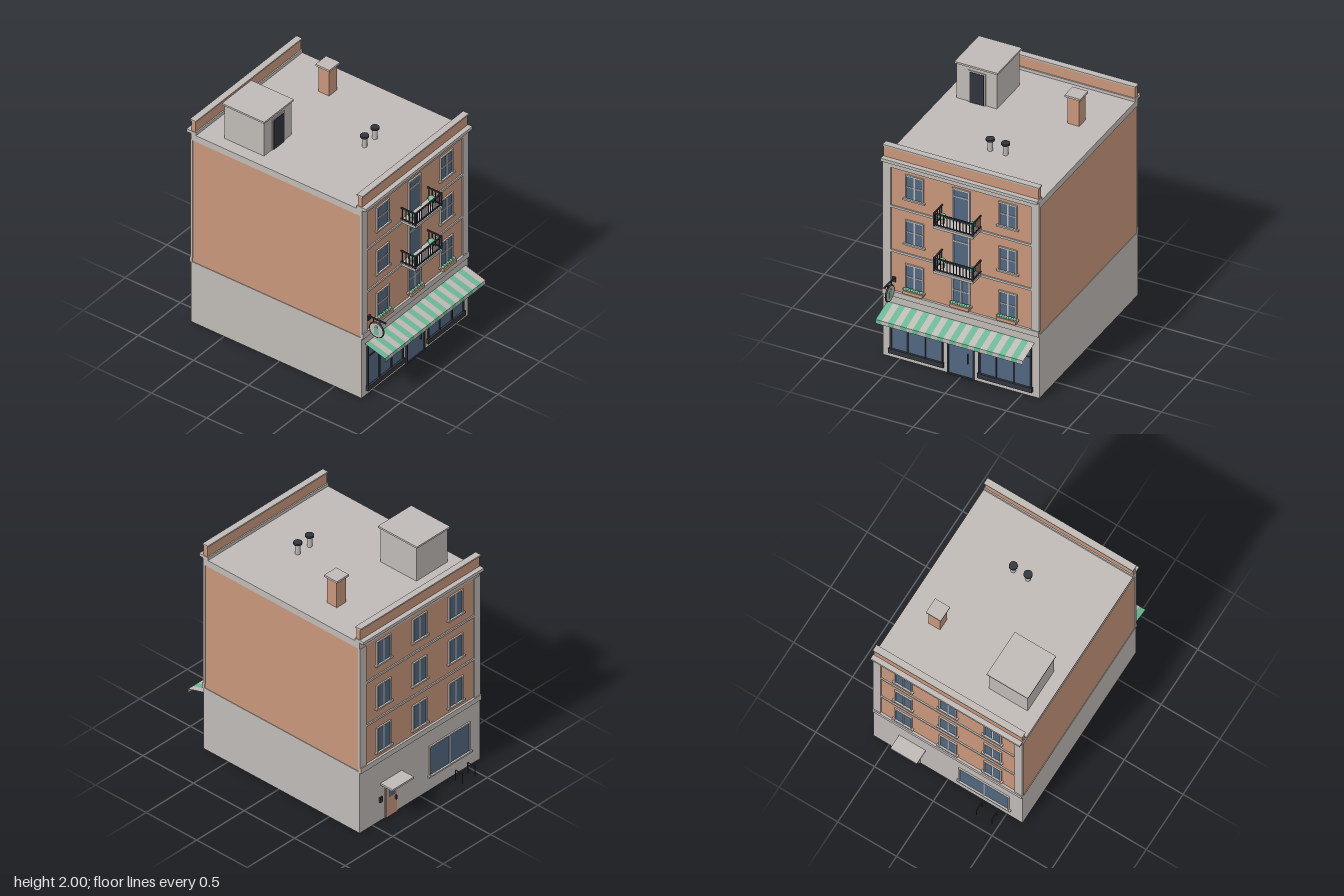
import * as THREE from 'three';

const mat = (name, color, side = THREE.FrontSide) => {
  const m = new THREE.MeshStandardMaterial({ color, side });
  m.name = name;
  return m;
};

export function createModel() {
  const brick = mat('terracotta', 0xc8967a);
  const stone = mat('stone', 0xbfbab6);
  const glass = mat('glass', 0x50677f);
  const dark = mat('dark metal', 0x32343c);
  const green = mat('green', 0x6cb896);
  const greenCloth = mat('green cloth', 0x6cb896, THREE.DoubleSide);
  const paleCloth = mat('pale cloth', 0xbfbab6, THREE.DoubleSide);

  const root = new THREE.Group();
  root.name = 'townhouse';
  const group = (name, parent = root) => {
    const g = new THREE.Group();
    g.name = name;
    parent.add(g);
    return g;
  };
  const add = (parent, name, geo, m, x = 0, y = 0, z = 0) => {
    const mesh = new THREE.Mesh(geo, m);
    mesh.name = name;
    mesh.position.set(x, y, z);
    parent.add(mesh);
    return mesh;
  };
  // box given by its extents
  const box = (p, name, m, x0, x1, y0, y1, z0, z1) =>
    add(p, name, new THREE.BoxGeometry(x1 - x0, y1 - y0, z1 - z0), m,
      (x0 + x1) / 2, (y0 + y1) / 2, (z0 + z1) / 2);

  // main body: hollow ground floor, open underneath
  const body = group('body');
  box(body, 'upperFloors', brick, -0.63, 0.63, 0.54, 1.63, -0.795, 0.74);
  box(body, 'groundFrontWall', stone, -0.635, 0.635, 0, 0.54, 0.725, 0.745);
  box(body, 'groundBackWall', stone, -0.635, 0.635, 0, 0.54, -0.8, -0.78);
  for (const s of [-1, 1]) {
    const w = box(body, 'groundSideWall', stone, -0.01, 0.01, 0, 0.54, -0.78, 0.725);
    w.position.x = s * 0.625;
  }
  box(body, 'roofSlab', stone, -0.635, 0.635, 1.63, 1.685, -0.8, 0.75);

  // framed window with sill, local wall plane at z = 0
  const windowUnit = (p, x, y0, y1, w = 0.15, cross = true) => {
    const g = group('window', p);
    const f = 0.011, h = w / 2;
    box(g, 'pane', glass, x - h + f, x + h - f, y0, y1 - f, 0, 0.005);
    for (const s of [-1, 1])
      box(g, 'jamb', stone, x + s * (h - f / 2) - f / 2, x + s * (h - f / 2) + f / 2, y0, y1, 0, 0.012);
    box(g, 'head', stone, x - h + f, x + h - f, y1 - f, y1, 0, 0.012);
    box(g, 'mullion', stone, x - 0.005, x + 0.005, y0, y1 - f, 0, 0.009);
    if (cross) box(g, 'transom', stone, x - h + f, x + h - f, (y0 + y1) / 2 - 0.004, (y0 + y1) / 2 + 0.004, 0, 0.009);
    box(g, 'sill', stone, x - h - 0.014, x + h + 0.014, y0 - 0.013, y0, 0, 0.02);
  };

  // trim shared by front and back, local wall plane at z = 0
  const trim = (g) => {
    for (const s of [-1, 1]) {
      const p = box(g, 'cornerPilaster', stone, -0.0325, 0.0325, 0.575, 1.63, -0.01, 0.01);
      p.position.x = s * 0.6025;
    }
    box(g, 'shopCornice', stone, -0.635, 0.635, 0.53, 0.575, -0.005, 0.018);
    for (const y of [0.908, 1.288]) box(g, 'stringCourse', stone, -0.57, 0.57, y, y + 0.018, 0, 0.01);
    box(g, 'cornice', stone, -0.635, 0.635, 1.685, 1.71, -0.04, 0.045);
    box(g, 'parapet', brick, -0.63, 0.63, 1.71, 1.8, -0.03, 0.006);
    box(g, 'parapetCap', stone, -0.635, 0.635, 1.8, 1.812, -0.038, 0.014);
  };
  const front = group('frontFacade');
  front.position.z = 0.74;
  const back = group('backFacade');
  back.position.z = -0.795;
  back.rotation.y = Math.PI;
  trim(front);
  trim(back);

  // upper windows
  const floors = [[0.625, 0.837], [1.015, 1.215], [1.4, 1.602]];
  floors.forEach(([y0, y1], i) => {
    for (const x of [-0.38, 0, 0.38]) {
      if (x !== 0 || i === 0) windowUnit(front, x, y0, y1);
      windowUnit(back, x, y0, y1, 0.15, false);
    }
  });

  // planter boxes on the first row of windows
  for (const x of [-0.38, 0, 0.38]) {
    const g = group('windowBox', front);
    box(g, 'planter', brick, x - 0.078, x + 0.078, 0.595, 0.622, 0.005, 0.04);
    for (let i = 0; i < 8; i++)
      add(g, 'foliage', new THREE.IcosahedronGeometry(0.013, 1), green, x - 0.065 + i * 0.0186, 0.628 + (i % 2) * 0.005, 0.023);
  }

  // balconies with glazed doors, railings and potted shrubs
  for (const y of [0.915, 1.3]) {
    const g = group('balcony', front);
    g.position.y = y;
    box(g, 'doorGlass', glass, -0.06, 0.06, 0.02, 0.295, 0, 0.005);
    for (const s of [-1, 1]) {
      box(g, 'doorJamb', stone, s * 0.066 - 0.007, s * 0.066 + 0.007, 0.02, 0.308, 0, 0.012);
      box(g, 'sideTopRail', dark, s * 0.157 - 0.005, s * 0.157 + 0.005, 0.122, 0.132, 0, 0.133);
      box(g, 'sideBottomRail', dark, s * 0.157 - 0.004, s * 0.157 + 0.004, 0.028, 0.036, 0, 0.133);
      for (let i = 0; i < 4; i++)
        box(g, 'sideBaluster', dark, s * 0.157 - 0.003, s * 0.157 + 0.003, 0.02, 0.125, 0.012 + i * 0.03, 0.018 + i * 0.03);
      box(g, 'cornerPost', dark, s * 0.157 - 0.006, s * 0.157 + 0.006, 0.02, 0.134, 0.123, 0.135);
      add(g, 'pot', new THREE.CylinderGeometry(0.019, 0.014, 0.036, 12), brick, s * 0.12, 0.038, 0.066);
      add(g, 'shrub', new THREE.IcosahedronGeometry(0.026, 2), green, s * 0.12, 0.075, 0.066);
    }
    box(g, 'doorHead', stone, -0.059, 0.059, 0.295, 0.308, 0, 0.012);
    box(g, 'doorTransom', stone, -0.059, 0.059, 0.232, 0.242, 0, 0.01);
    box(g, 'slab', stone, -0.163, 0.163, 0, 0.02, 0, 0.135);
    box(g, 'topRail', dark, -0.157, 0.157, 0.122, 0.132, 0.123, 0.133);
    box(g, 'bottomRail', dark, -0.157, 0.157, 0.028, 0.036, 0.124, 0.132);
    for (let i = 1; i < 12; i++) {
      const x = -0.157 + i * 0.314 / 12;
      box(g, 'baluster', dark, x - 0.003, x + 0.003, 0.03, 0.125, 0.125, 0.131);
    }
  }

  // shop windows: three panes each side of the entrance
  for (const s of [-1, 1]) {
    const g = group('shopWindow', front);
    g.position.set(s * 0.36, 0, 0.005);
    box(g, 'shopGlass', glass, -0.205, 0.205, 0.08, 0.43, 0, 0.005);
    for (const [x, w] of [[-0.208, 0.014], [-0.072, 0.01], [0.072, 0.01], [0.208, 0.014]])
      box(g, 'shopMullion', dark, x - w / 2, x + w / 2, 0.08, 0.43, 0, 0.013);
    box(g, 'shopTransom', dark, -0.205, 0.205, 0.332, 0.342, 0, 0.011);
    box(g, 'shopHead', dark, -0.205, 0.205, 0.42, 0.432, 0, 0.013);
    box(g, 'shopPlinth', dark, -0.222, 0.222, 0.04, 0.08, 0, 0.022);
  }
  const entry = group('entrance', front);
  entry.position.z = 0.005;
  box(entry, 'entryGlass', glass, -0.1, 0.1, 0.012, 0.42, 0, 0.005);
  for (const s of [-1, 1]) box(entry, 'entryJamb', dark, s * 0.104 - 0.006, s * 0.104 + 0.006, 0, 0.432, 0, 0.013);
  box(entry, 'entryHead', dark, -0.098, 0.098, 0.42, 0.432, 0, 0.013);
  box(entry, 'entryTransom', dark, -0.098, 0.098, 0.322, 0.332, 0, 0.011);
  box(entry, 'entryThreshold', dark, -0.098, 0.098, 0, 0.012, 0, 0.013);
  box(entry, 'entryHandle', dark, 0.057, 0.063, 0.13, 0.215, 0.005, 0.018);

  // striped awning: sloping strips with a hanging valance
  const awning = group('awning');
  const y0 = 0.47, z0 = 0.75, y1 = 0.417, z1 = 0.93;
  const slope = Math.atan2(y0 - y1, z1 - z0), run = Math.hypot(y0 - y1, z1 - z0);
  for (let i = 0; i < 24; i++) {
    const x = -0.575 + i * 0.05, m = i % 2 ? paleCloth : greenCloth;
    const strip = add(awning, 'awningStripe', new THREE.PlaneGeometry(0.05, run), m, x, (y0 + y1) / 2, (z0 + z1) / 2);
    strip.rotation.x = -Math.PI / 2 + slope;
    add(awning, 'valance', new THREE.PlaneGeometry(0.05, 0.034), m, x, y1 - 0.017, z1);
  }

  // round hanging sign on a bracket
  const sign = group('hangingSign');
  sign.position.set(-0.545, 0.593, 0.816);
  const disc = (name, r, w, m) => {
    add(sign, name, new THREE.CylinderGeometry(r, r, w, 32), m).rotation.z = Math.PI / 2;
  };
  disc('signFace', 0.058, 0.014, stone);
  add(sign, 'signRim', new THREE.TorusGeometry(0.06, 0.008, 8, 32), dark).rotation.y = Math.PI / 2;
  box(sign, 'signEmblem', green, -0.009, 0.009, -0.038, 0.022, -0.02, 0.02);
  box(sign, 'signEmblemTop', green, -0.009, 0.009, 0.022, 0.04, -0.01, 0.01);
  box(sign, 'bracketArm', dark, -0.005, 0.005, 0.088, 0.098, -0.076, 0.084);
  box(sign, 'bracketPlate', dark, -0.014, 0.014, 0.06, 0.1, -0.076, -0.064);
  for (const z of [-0.03, 0.03]) box(sign, 'signHanger', dark, -0.003, 0.003, 0.05, 0.09, z - 0.003, z + 0.003);

  // rooftop: stair house, chimney and vents
  const roof = group('rooftop');
  box(roof, 'stairHouse', stone, -0.535, -0.207, 1.685, 1.985, -0.572, -0.215);
  box(roof, 'stairHouseCap', stone, -0.547, -0.196, 1.985, 2, -0.587, -0.203);
  box(roof, 'stairDoorFrame', stone, -0.44, -0.297, 1.685, 1.955, -0.215, -0.209);
  box(roof, 'stairDoor', dark, -0.426, -0.311, 1.685, 1.943, -0.212, -0.205);
  box(roof, 'chimney', brick, 0.33, 0.427, 1.685, 1.913, -0.379, -0.282);
  box(roof, 'chimneyCap', stone, 0.315, 0.442, 1.913, 1.93, -0.394, -0.268);
  for (const x of [0, 0.125]) {
    add(roof, 'ventPipe', new THREE.CylinderGeometry(0.02, 0.02, 0.085, 16), stone, x, 1.7275, 0.29);
    add(roof, 'ventCap', new THREE.CylinderGeometry(0.033, 0.033, 0.016, 16), dark, x, 1.778, 0.29);
  }

  // rear ground floor (local x is mirrored by the turned facade)
  const rear = group('rearGroundFloor', back);
  rear.position.z = 0.005;
  box(rear, 'rearDoorFrame', stone, -0.375, -0.235, 0, 0.295, 0, 0.006);
  box(rear, 'rearDoor', brick, -0.361, -0.249, 0, 0.282, 0, 0.01);
  box(rear, 'rearDoorGlass', glass, -0.338, -0.272, 0.17, 0.25, 0.008, 0.013);
  box(rear, 'rearDoorHandle', dark, -0.27, -0.26, 0.12, 0.155, 0.01, 0.022);
  box(rear, 'entryPanel', dark, -0.428, -0.402, 0.165, 0.21, 0, 0.012);
  box(rear, 'rearCanopy', stone, -0.415, -0.19, 0.312, 0.328, 0, 0.12);
  windowUnit(rear, 0.31, 0.135, 0.39, 0.43, false);

  // bicycle stands
  for (const x of [-0.45, -0.32]) {
    const path = new THREE.CurvePath();
    const pts = [[0, -0.852], [0.09, -0.852], [0.09, -0.923], [0, -0.923]].map(([y, z]) => new THREE.Vector3(x, y, z));
    for (let i = 0; i < 3; i++) path.add(new THREE.LineCurve3(pts[i], pts[i + 1]));
    add(root, 'bicycleStand', new THREE.TubeGeometry(path, 48, 0.004, 8), dark);
  }
  return root;
}
